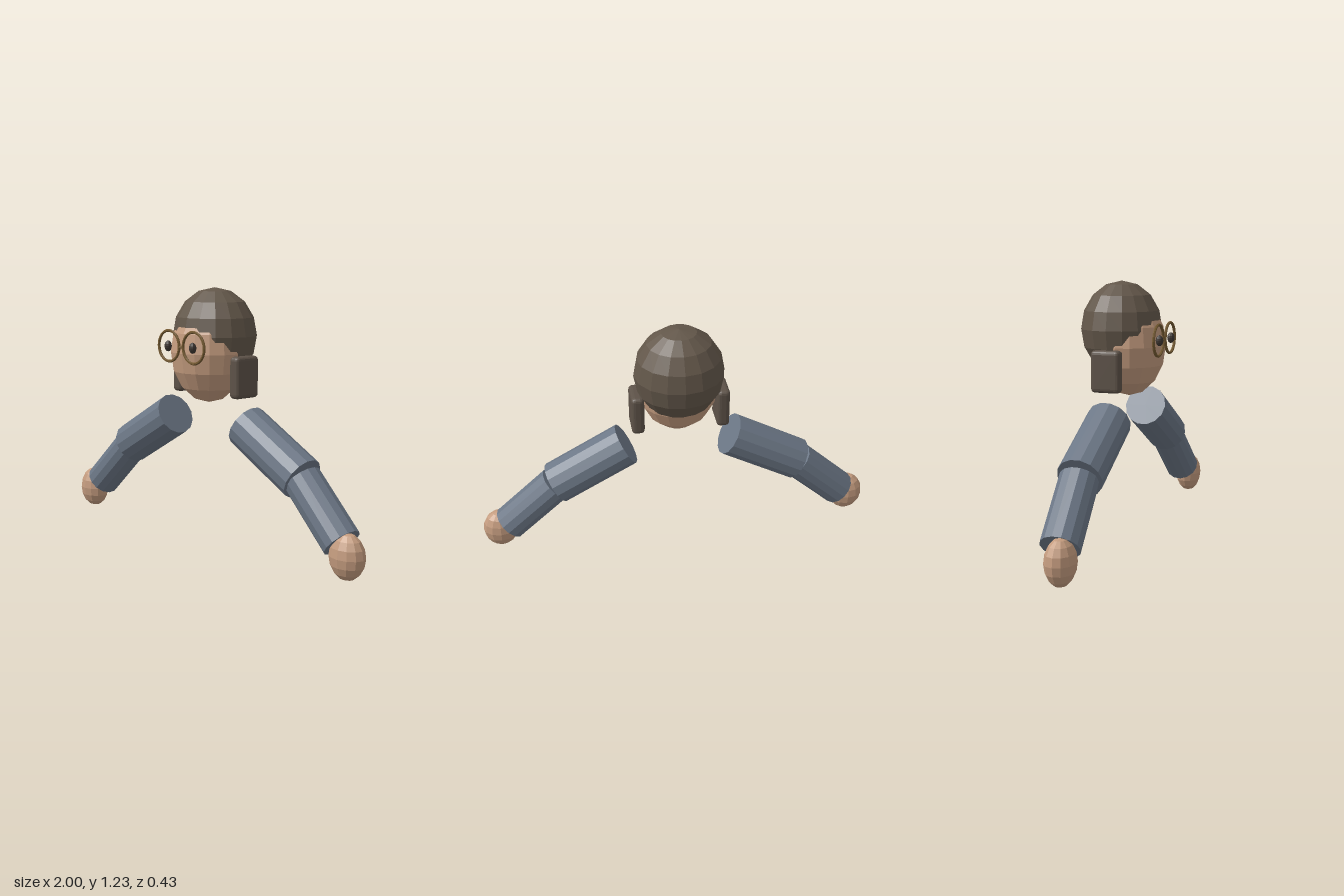
import * as THREE from 'three';
import { RoundedBoxGeometry } from 'three/addons/geometries/RoundedBoxGeometry.js';

const paint = (name, color) => {
  const m = new THREE.MeshStandardMaterial({ color, flatShading: true });
  m.name = name;
  return m;
};

export function createModel() {
  const skin = paint('skin', 0xc39b7e);
  const hairBrown = paint('hair brown', 0x63574a);
  const padBrown = paint('pad brown', 0x5d5248);
  const sleeveBlue = paint('sleeve blue grey', 0x6c7786);
  const frameBronze = paint('frame bronze', 0x745a32);
  const eyeDark = paint('eye dark', 0x3d3632);

  const model = new THREE.Group();
  model.name = 'figure';

  const add = (name, geometry, material, x = 0, y = 0, z = 0) => {
    const mesh = new THREE.Mesh(geometry, material);
    mesh.name = name;
    mesh.position.set(x, y, z);
    model.add(mesh);
    return mesh;
  };

  // Faceted ellipsoid
  const ellipsoid = (rx, ry, rz, w, h) => new THREE.SphereGeometry(1, w, h).scale(rx, ry, rz);

  // Capped cylinder running between two points
  const limb = (name, a, b, radius, sides, material) => {
    const from = new THREE.Vector3(...a), to = new THREE.Vector3(...b);
    const dir = to.clone().sub(from);
    const mesh = add(name, new THREE.CylinderGeometry(radius, radius, dir.length(), sides), material);
    mesh.position.copy(from).add(to).multiplyScalar(0.5);
    mesh.quaternion.setFromUnitVectors(new THREE.Vector3(0, 1, 0), dir.normalize());
    return mesh;
  };

  // Head, with a hair shell that cuts through it along the hairline
  add('head', ellipsoid(0.196, 0.245, 0.175, 16, 8), skin, 0, 0.92, 0.017);
  add('hair', ellipsoid(0.215, 0.23, 0.194, 16, 8), hairBrown, 0, 1.0, -0.022);

  for (const s of [1, -1]) {
    const side = s > 0 ? 'left' : 'right';

    // Hanging pads over the ears
    add(side + 'EarPad', new RoundedBoxGeometry(0.062, 0.2, 0.146, 2, 0.02), padBrown, s * 0.204, 0.811, -0.022);

    // Eye and round spectacle rim
    add(side + 'Eye', ellipsoid(0.018, 0.026, 0.018, 10, 8), eyeDark, s * 0.088, 0.954, 0.2);
    add(side + 'Rim', new THREE.TorusGeometry(0.074, 0.007, 6, 24), frameBronze, s * 0.088, 0.954, 0.195);

    // Sleeve in two pieces, ending in a rounded hand
    limb(side + 'UpperArm', [s * 0.257, 0.588, 0.011], [s * 0.612, 0.39, 0.011], 0.106, 14, sleeveBlue);
    limb(side + 'Forearm', [s * 0.612, 0.388, 0.009], [s * 0.861, 0.15, 0.026], 0.09, 14, sleeveBlue);
    add(side + 'Hand', ellipsoid(0.088, 0.105, 0.068, 12, 8), skin, s * 0.912, 0.105, 0.05);
  }

  // Spectacle bridge
  limb('bridge', [-0.018, 0.952, 0.195], [0.018, 0.952, 0.195], 0.006, 6, frameBronze);

  return model;
}
